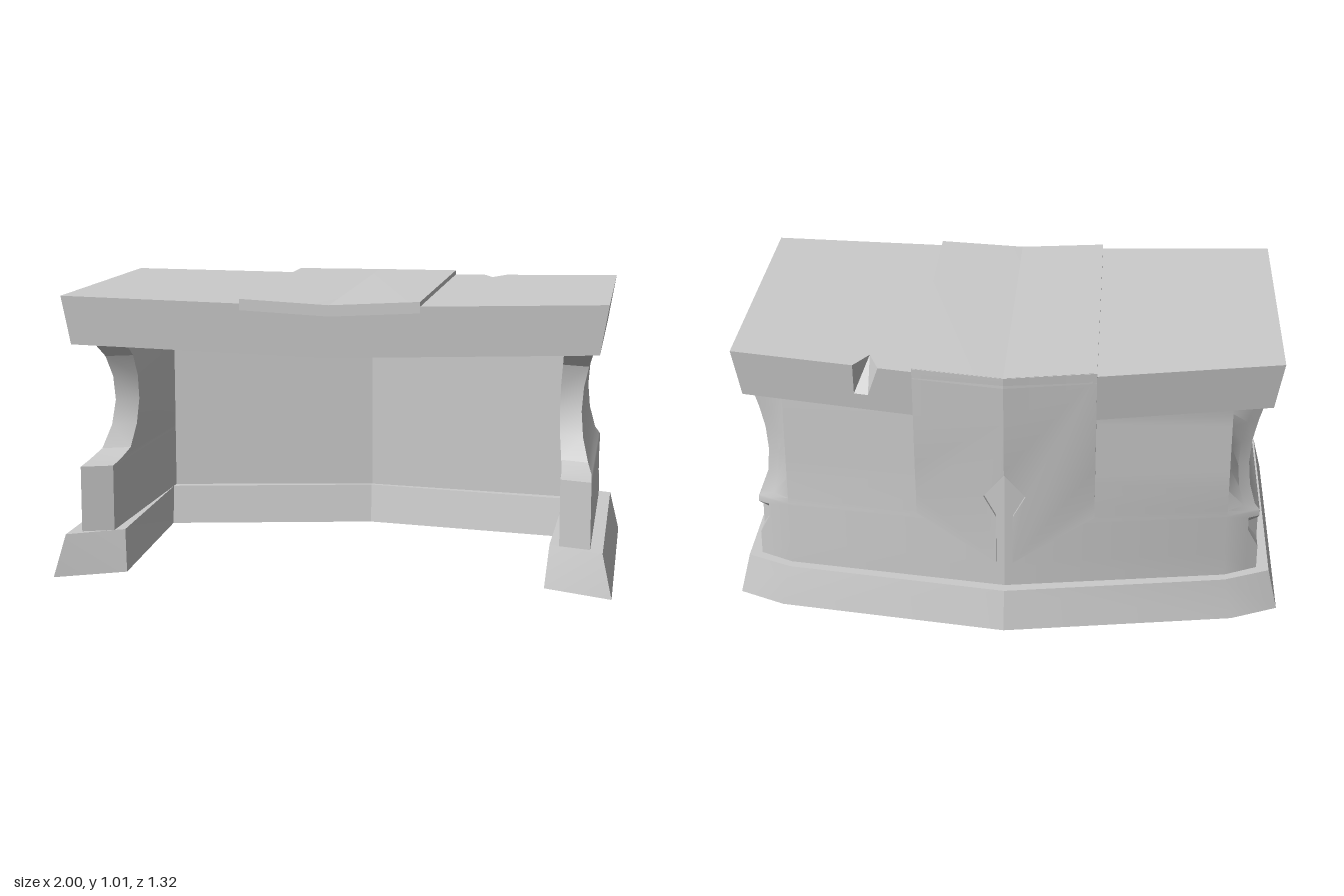
import * as THREE from 'three';
import { toCreasedNormals } from 'three/addons/utils/BufferGeometryUtils.js';

const material = new THREE.MeshStandardMaterial({ color: 0xcccccc, side: THREE.DoubleSide });

// Skins one half (x >= 0) from stacked rings of [x, y, z]; the chain is left open at x = 0.
// side = -1 mirrors it to the other half.
function halfLoft(rings, side, caps = { bottom: true, top: true }) {
  const n = rings[0].length;
  const index = [];
  const tri = (a, b, c) => (side > 0 ? index.push(a, b, c) : index.push(a, c, b));
  for (let i = 0; i < rings.length - 1; i++) {
    for (let j = 0; j < n - 1; j++) {
      const a = i * n + j;
      tri(a, a + n, a + 1);
      tri(a + 1, a + n, a + n + 1);
    }
  }
  const cap = (r, up) => {
    const p = rings[r].map(([x, , z]) => new THREE.Vector2(x, z));
    for (const [a, b, c] of THREE.ShapeUtils.triangulateShape(p, [])) {
      const ab = p[b].clone().sub(p[a]);
      const ac = p[c].clone().sub(p[a]);
      const facesUp = ab.y * ac.x - ab.x * ac.y > 0;
      if (facesUp === up) tri(r * n + a, r * n + b, r * n + c);
      else tri(r * n + a, r * n + c, r * n + b);
    }
  };
  if (caps.bottom) cap(0, false);
  if (caps.top) cap(rings.length - 1, true);
  const geometry = new THREE.BufferGeometry();
  const positions = rings.flat().flatMap(([x, y, z]) => [x * side, y, z]);
  geometry.setAttribute('position', new THREE.Float32BufferAttribute(positions, 3));
  geometry.setIndex(index);
  return toCreasedNormals(geometry, 0.45);
}

// Hollow U-shaped plinth, open underneath
function plinth(side) {
  const bottom = [[0, -0.66], [0.83, -0.53], [1, -0.45], [1, 0.66], [0.76, 0.54], [0.79, -0.26], [0, -0.41]];
  const top = [[0, -0.63], [0.8, -0.505], [0.965, -0.43], [0.965, 0.615], [0.775, 0.5], [0.79, -0.28], [0, -0.43]];
  const ring = (pts, y) => pts.map(([x, z]) => [x, y, z]);
  return halfLoft([ring(bottom, 0), ring(top, 0.15)], side, { bottom: false, top: true });
}

// U-shaped wall: pinched sides, scooped front edge, chipped back corners
function wall(side) {
  // [height, front edge z, side pinch, chip depth]
  const levels = [
    [0.15, 0.56, 0, 0], [0.24, 0.56, 0, 0], [0.32, 0.56, 0, 1], [0.37, 0.56, 0, 0],
    [0.39, 0.56, 0, 0], [0.397, 0.46, 0.003, 0], [0.42, 0.35, 0.02, 0], [0.5, 0.29, 0.042, 0],
    [0.59, 0.26, 0.05, 0], [0.68, 0.265, 0.043, 0], [0.76, 0.3, 0.025, 0],
    [0.81, 0.37, 0.01, 0], [0.845, 0.43, 0, 0],
  ];
  const rings = levels.map(([y, front, pinch, chip]) => {
    const x = 0.92 - pinch;
    return [
      [0, y, -0.59], [0.8, y, -0.47], [x - 0.04, y, -0.43],
      [x - 0.05 * chip, y, -0.41 + 0.035 * chip], [x, y, -0.335],
      [x, y, front], [0.81 - 0.4 * pinch, y, front - 0.04], [0.79, y, -0.32], [0, y, -0.45],
    ];
  });
  return halfLoft(rings, side);
}

// Slab with a shallow sag towards the middle; one back edge is chipped
function slab(side) {
  const outline = (x, back, front, chip) => {
    const backZ = (px) => back - 0.15 * (x - px);
    return [
      [0, backZ(0)], [0.44, backZ(0.44)], [0.48, backZ(0.48) + chip], [0.53, backZ(0.53)],
      [x, back], [x, front], [0, front],
    ];
  };
  const ring = (pts, y, sag) => pts.map(([x, z]) => [x, y - sag * (1 - x / 0.97), z]);
  return halfLoft([
    ring(outline(0.94, -0.47, 0.575, 0), 0.84, 0.03),
    ring(outline(0.95, -0.477, 0.58, 0), 0.9, 0.028),
    ring(outline(0.97, -0.49, 0.59, side > 0 ? 0.1 : 0), 1.015, 0.025),
  ], side);
}

// Cloth strip lying across the slab
function runner(side) {
  const ring = (drop) => [
    [0, 1.011 - drop, -0.645], [0.32, 1.015 - drop, -0.594],
    [0.32, 1.015 - drop, 0.592], [0, 0.998 - drop, 0.592],
  ];
  return halfLoft([ring(0.04), ring(0)], side);
}

// Pointed cloth hanging down the back, with a diamond cut-out and slit
function drape(side) {
  const points = [
    [0, 1.01], [0.32, 1.014], [0.32, 0.83], [0.32, 0.63], [0.32, 0.5], [0.32, 0.42],
    [0.03, 0.25], [0.03, 0.44], [0.075, 0.52], [0, 0.62], [0, 0.63], [0, 0.83],
  ].map(([x, y]) => new THREE.Vector2(x * side, y));
  const geometry = new THREE.ExtrudeGeometry(new THREE.Shape(points), { depth: 0.035, bevelEnabled: false });
  const p = geometry.attributes.position;
  for (let i = 0; i < p.count; i++) {
    const x = Math.abs(p.getX(i));
    const y = p.getY(i);
    const lift = THREE.MathUtils.clamp((y - 0.5) / 0.13, 0, 1) * 0.018
      + THREE.MathUtils.clamp((y - 0.63) / 0.38, 0, 1) * 0.027;
    p.setZ(i, p.getZ(i) - 0.602 - lift + 0.158 * x);
  }
  return toCreasedNormals(geometry, 0.45);
}

export function createModel() {
  const model = new THREE.Group();
  const parts = { plinth, wall, tableTop: slab, clothRunner: runner, clothDrape: drape };
  for (const [name, build] of Object.entries(parts)) {
    const part = new THREE.Group();
    part.name = name;
    for (const side of [1, -1]) {
      const mesh = new THREE.Mesh(build(side), material);
      mesh.name = name + (side > 0 ? 'Left' : 'Right');
      part.add(mesh);
    }
    model.add(part);
  }
  return model;
}
